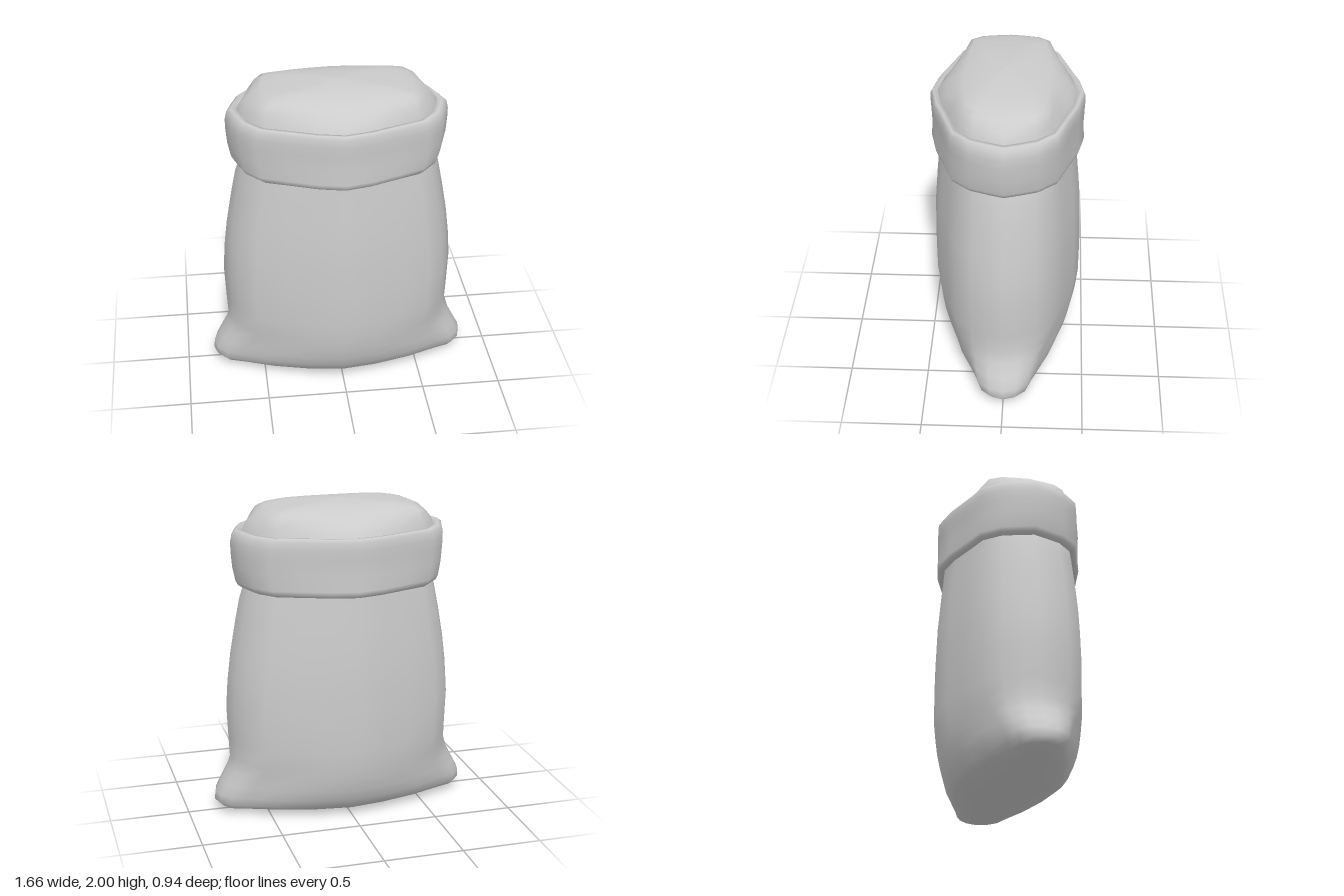
import * as THREE from 'three';

// Quarter outlines from the side tip (1,0) to the front tip (0,1), scaled per ring
const BODY = [[1, 0], [0.955, 0.2], [0.895, 0.43], [0.75, 0.66], [0.5, 0.79], [0.25, 0.925], [0, 1]];
const EAR = [[1, 0], [0.975, 0.22], [0.91, 0.4], [0.79, 0.5], [0.55, 0.73], [0.27, 0.91], [0, 1]];
const PILLOW = [[1, 0], [1, 0.3], [0.99, 0.65], [0.93, 0.88], [0.6, 0.97], [0.3, 1], [0, 1]];

// Full ring of [x, z], blending two outlines by t and mirroring the quarter
function ring(rx, rz, outline, t) {
  const q = BODY.map(([x, z], i) => [
    rx * THREE.MathUtils.lerp(x, outline[i][0], t),
    rz * THREE.MathUtils.lerp(z, outline[i][1], t),
  ]);
  const half = [...q, ...q.slice(0, -1).reverse().map(([x, z]) => [-x, z])];
  return [...half, ...half.slice(1, -1).reverse().map(([x, z]) => [x, -z])];
}

// Smooth skin through rings [y, rx, rz, blend], listed so the outside faces out
function loft(name, rows, outline, material) {
  const pos = [], index = [];
  let n = 0;
  rows.forEach(([y, rx, rz, t = 0], i) => {
    const pts = ring(rx, rz, outline, t);
    n = pts.length;
    pts.forEach(([x, z], j) => {
      pos.push(x, y, z);
      if (i === rows.length - 1) return;
      const k = (j + 1) % n, a = i * n + j, b = i * n + k;
      index.push(a, a + n, b, b, a + n, b + n);
    });
  });
  const geo = new THREE.BufferGeometry();
  geo.setAttribute('position', new THREE.Float32BufferAttribute(pos, 3));
  geo.setIndex(index);
  geo.computeVertexNormals();
  const mesh = new THREE.Mesh(geo, material);
  mesh.name = name;
  return mesh;
}

export function createModel() {
  const group = new THREE.Group();
  group.name = 'sack';
  const mat = new THREE.MeshStandardMaterial({ color: 0xcccccc, side: THREE.DoubleSide });

  // Bulging body with two pinched bottom corners
  group.add(loft('body', [
    [0, 0, 0, 1],
    [0.005, 0.4, 0.12, 1],
    [0.015, 0.69, 0.21, 1],
    [0.045, 0.8, 0.31, 1],
    [0.075, 0.828, 0.345, 1],
    [0.13, 0.822, 0.385, 1],
    [0.2, 0.785, 0.415, 0.9],
    [0.28, 0.745, 0.437, 0.6],
    [0.36, 0.722, 0.45, 0.2],
    [0.48, 0.728, 0.463],
    [0.7, 0.737, 0.465],
    [0.88, 0.724, 0.463],
    [1.05, 0.703, 0.458],
    [1.25, 0.668, 0.442],
    [1.4, 0.638, 0.428],
    [1.48, 0.612, 0.422],
  ], EAR, mat));

  // Rolled-down cuff
  group.add(loft('cuff', [
    [1.485, 0.6, 0.415],
    [1.468, 0.622, 0.445],
    [1.485, 0.645, 0.465],
    [1.51, 0.658, 0.47],
    [1.6, 0.677, 0.463],
    [1.7, 0.685, 0.467],
    [1.76, 0.686, 0.47],
    [1.81, 0.675, 0.468],
    [1.83, 0.65, 0.455],
    [1.828, 0.62, 0.43],
    [1.79, 0.6, 0.41],
  ], BODY, mat));

  // Filling heaped above the rim
  group.add(loft('filling', [
    [1.79, 0.625, 0.435],
    [1.835, 0.61, 0.42],
    [1.88, 0.577, 0.375, 0.2],
    [1.935, 0.515, 0.31, 0.6],
    [1.955, 0.46, 0.26, 0.8],
    [1.98, 0.33, 0.185, 1],
    [1.992, 0.16, 0.1, 1],
    [2, 0, 0, 1],
  ], PILLOW, mat));

  return group;
}
